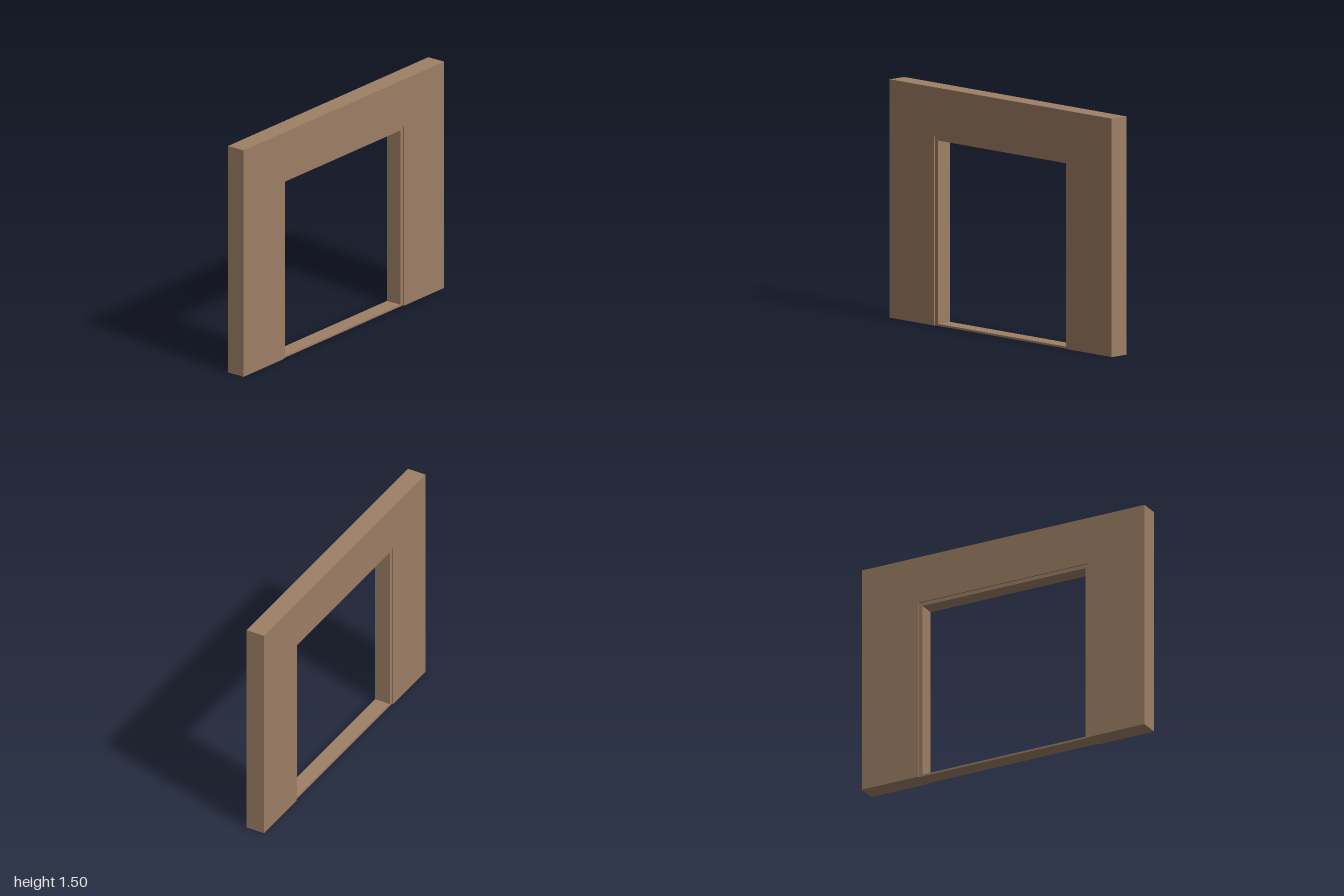
import * as THREE from 'three';

const WALL = { half: 1, height: 1.5, depth: 0.125 };
const OPENING = { half: 0.6, height: 1.19 };
const FRAME = { half: 0.576, bottom: 0.0125, top: 1.166, depth: 0.106 };

// Closed outline from [x, y] pairs
const points = (pairs) => pairs.map(([x, y]) => new THREE.Vector2(x, y));

// Extrude a flat shape to a depth centred on z = 0
function slab(name, shape, depth, material) {
  const geometry = new THREE.ExtrudeGeometry(shape, { depth, bevelEnabled: false });
  geometry.translate(0, 0, -depth / 2);
  const mesh = new THREE.Mesh(geometry, material);
  mesh.name = name;
  return mesh;
}

export function createModel() {
  const model = new THREE.Group();
  model.name = 'wallWithDoorway';

  const brown = new THREE.MeshStandardMaterial({ color: 0x9e7f65 });
  brown.name = 'brown';

  // Wall with an opening cut up from the floor
  const { half: w, height: h } = WALL;
  const { half: o, height: t } = OPENING;
  const wall = new THREE.Shape(points([
    [-w, 0], [-o, 0], [-o, t], [o, t], [o, 0], [w, 0], [w, h], [-w, h],
  ]));
  model.add(slab('wall', wall, WALL.depth, brown));

  // Slim lining, set back from both wall faces, with a low sill
  const { half: f, bottom: b, top: p } = FRAME;
  const lining = new THREE.Shape(points([[-o, 0], [o, 0], [o, t], [-o, t]]));
  lining.holes.push(new THREE.Path(points([[-f, b], [-f, p], [f, p], [f, b]])));
  model.add(slab('doorwayFrame', lining, FRAME.depth, brown));

  return model;
}
